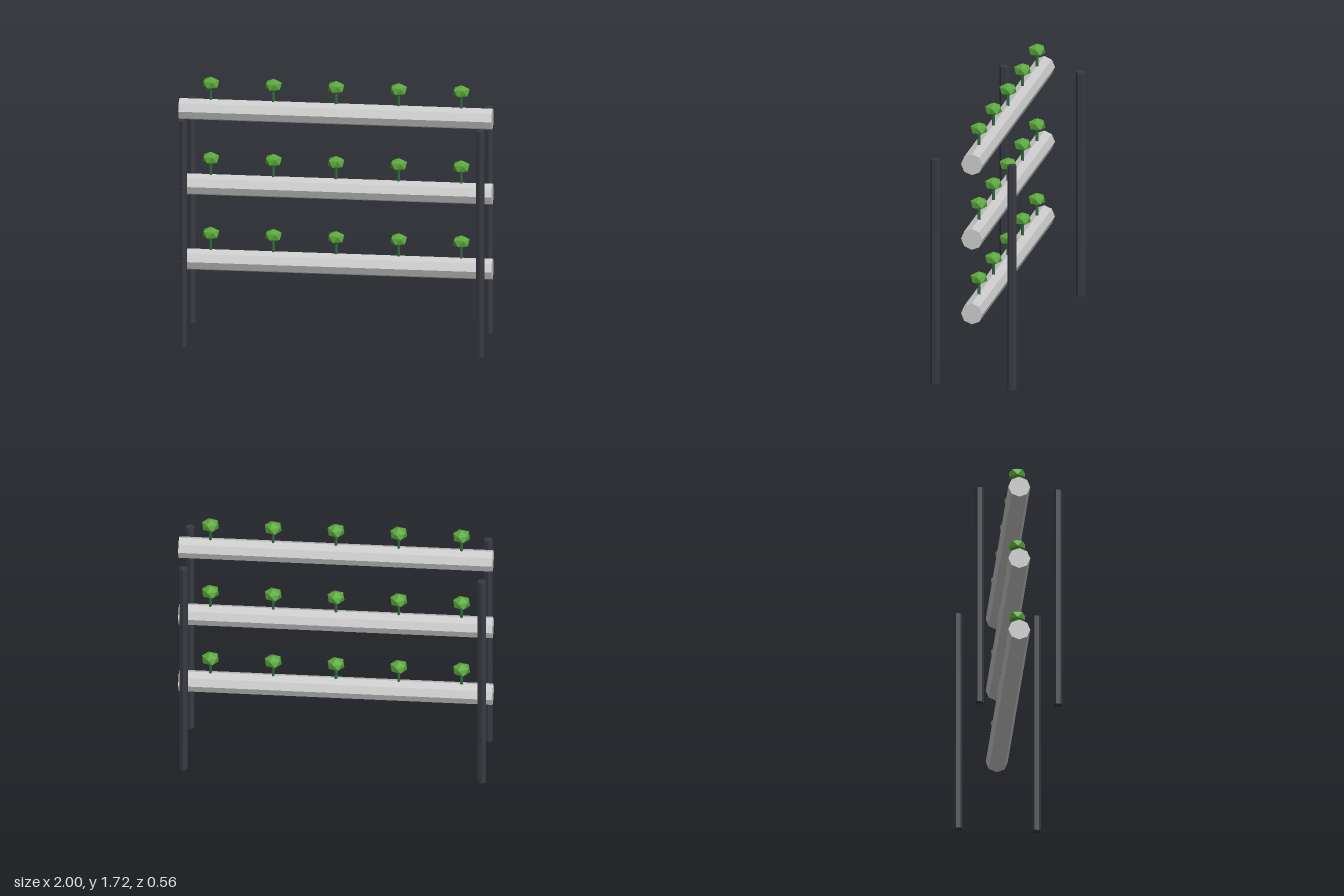
import * as THREE from 'three';

const paint = (color) => new THREE.MeshStandardMaterial({ color, flatShading: true });

// Icosahedron turned so that one vertex points straight up and one upper-ring vertex points to +x
function crownGeometry(radius, squash) {
  const g = new THREE.IcosahedronGeometry(radius, 0);
  const t = (1 + Math.sqrt(5)) / 2;
  g.rotateZ(-Math.atan2(1, t)).rotateZ(Math.atan2(1, t)); // keep the standard pose
  g.rotateZ(-Math.atan2(1, t)); // vertex (-1, t, 0) leans left: turn it upright
  g.rotateY(0);
  const p = g.attributes.position;
  // face the upper ring vertex lying in the x-y plane towards +x
  let flip = false;
  for (let i = 0; i < p.count; i++) {
    if (Math.abs(p.getZ(i)) < 1e-4 && p.getY(i) > 0.2 * radius && p.getY(i) < 0.8 * radius) {
      flip = p.getX(i) < 0;
    }
  }
  if (flip) g.rotateY(Math.PI);
  g.scale(1, squash, 1);
  g.computeVertexNormals();
  return g;
}

export function createModel() {
  const model = new THREE.Group();
  model.name = 'plantRack';

  const postMat = paint(0x383a42);
  const pipeMat = paint(0xcccccc);
  const stemMat = paint(0x2f6b3f);
  const leafMat = paint(0x5aa83c);

  const add = (parent, name, geometry, material, x, y, z) => {
    const mesh = new THREE.Mesh(geometry, material);
    mesh.name = name;
    mesh.position.set(x, y, z);
    parent.add(mesh);
    return mesh;
  };

  // Four hexagonal corner posts
  const postGeo = new THREE.CylinderGeometry(0.03, 0.03, 1.5, 6);
  for (const x of [-0.95, 0.95]) {
    for (const z of [-0.25, 0.25]) add(model, 'post', postGeo, postMat, x, 0.75, z);
  }

  // Three octagonal pipes, each with a row of five plants
  const pipeGeo = new THREE.CylinderGeometry(0.07, 0.07, 2, 8).rotateZ(Math.PI / 2);
  const stemGeo = new THREE.CylinderGeometry(0.01, 0.01, 0.1, 6);
  const crownGeo = crownGeometry(0.06, 0.73);
  for (const y of [0.5, 1, 1.5]) {
    const tier = new THREE.Group();
    tier.name = 'tier';
    tier.position.y = y;
    model.add(tier);
    add(tier, 'growingPipe', pipeGeo, pipeMat, 0, 0, 0);
    for (let i = -2; i <= 2; i++) {
      const plant = new THREE.Group();
      plant.name = 'plant';
      plant.position.x = i * 0.4;
      tier.add(plant);
      add(plant, 'stem', stemGeo, stemMat, 0, 0.1, 0);
      add(plant, 'leafCrown', crownGeo, leafMat, 0, 0.175, 0);
    }
  }
  return model;
}
